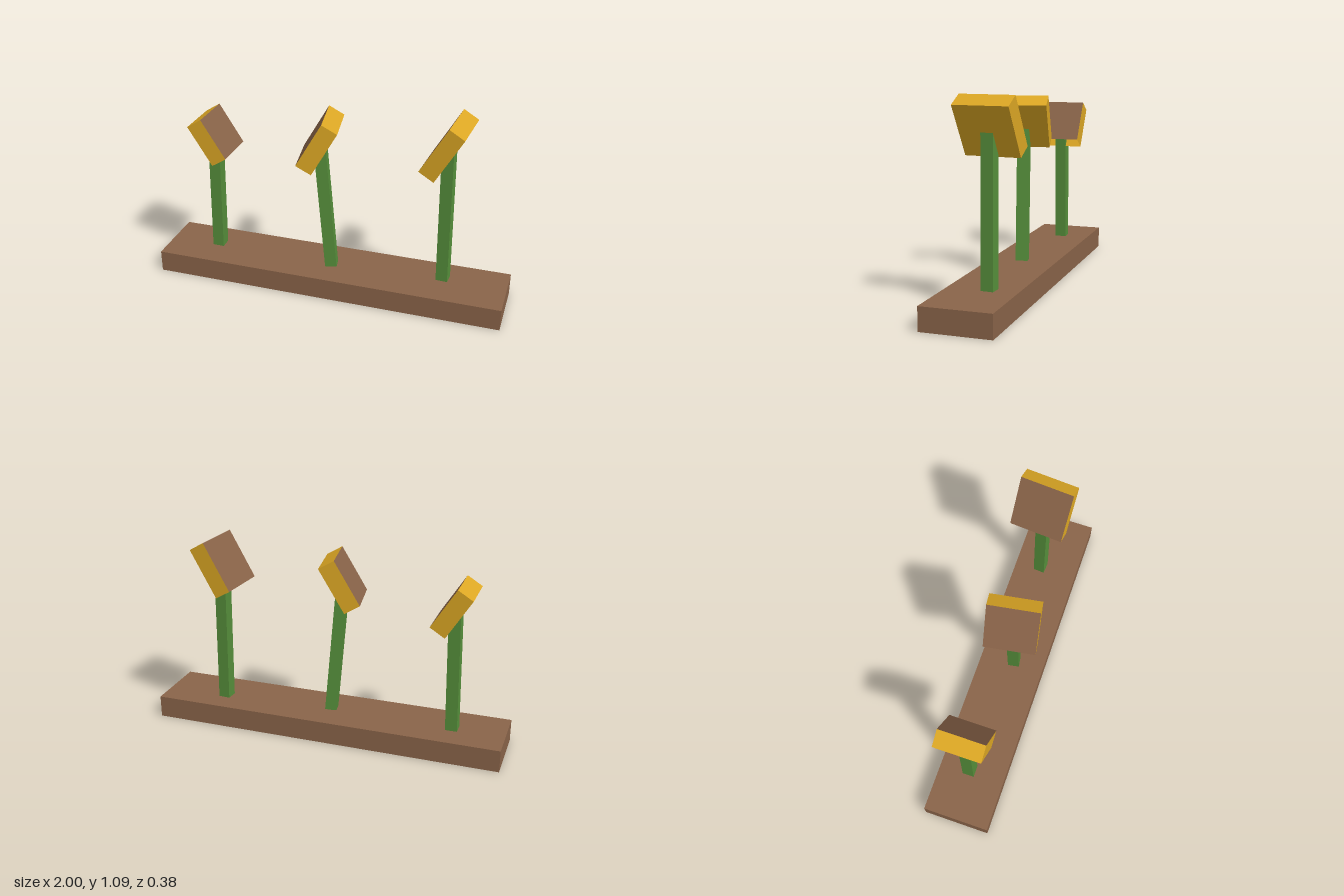
import * as THREE from 'three';

const flat = (name, color) =>
  Object.assign(new THREE.MeshStandardMaterial({ color, flatShading: true, side: THREE.DoubleSide }), { name });

// Box without its underside; group order: +x, -x, +y, +z, -z
function openBox(w, h, d) {
  const geometry = new THREE.BoxGeometry(w, h, d);
  const index = Array.from(geometry.index.array);
  index.splice(18, 6);
  geometry.setIndex(index);
  geometry.clearGroups();
  for (let i = 0; i < 5; i++) geometry.addGroup(i * 6, 6, i);
  return geometry;
}

function addMesh(parent, name, geometry, material) {
  const mesh = new THREE.Mesh(geometry, material);
  mesh.name = name;
  parent.add(mesh);
  return mesh;
}

export function createModel() {
  const brown = flat('brown', 0x8a6449);
  const green = flat('green', 0x568f3b);
  const gold = flat('gold', 0xdca724);

  const model = new THREE.Group();
  model.name = 'flowerPlanter';

  // Hollow planter base
  const baseHeight = 0.125;
  addMesh(model, 'base', openBox(2, baseHeight, 0.376), Array(5).fill(brown)).position.y = baseHeight / 2;

  // side: direction the brown face looks; lean: horizontal stem drift per unit of height
  const flowers = [
    { x: -0.707, z: -0.017, yaw: 0, side: 1, lean: 0.02, stem: 0.71, size: 0.256, tilt: 0.56, head: [0.0145, 0.708] },
    { x: 0, z: 0.01, yaw: 0.16, side: -1, lean: -0.083, stem: 0.76, size: 0.28, tilt: 0.525, head: [-0.0625, 0.775] },
    { x: 0.64, z: -0.035, yaw: -0.07, side: -1, lean: -0.012, stem: 0.8, size: 0.298, tilt: 0.525, head: [-0.015, 0.812] },
  ];

  for (const f of flowers) {
    const flower = new THREE.Group();
    flower.name = 'flower';
    flower.position.set(f.x, baseHeight, f.z);
    flower.rotation.y = f.yaw;
    model.add(flower);

    // Square stem, leaning from its foot
    const stemGeometry = new THREE.BoxGeometry(0.066, f.stem, 0.066).translate(0, f.stem / 2, 0);
    addMesh(flower, 'stem', stemGeometry, green).rotation.z = -Math.atan(f.lean);

    // Hollow tilted head, open at its lower edge, brown on the upward face
    const sides = [gold, gold, gold, gold, gold];
    sides[f.side > 0 ? 0 : 1] = brown;
    const head = addMesh(flower, 'flowerHead', openBox(0.097, f.size, f.size), sides);
    head.position.set(f.head[0], f.head[1], 0);
    head.rotation.z = f.side * f.tilt;
  }
  return model;
}
